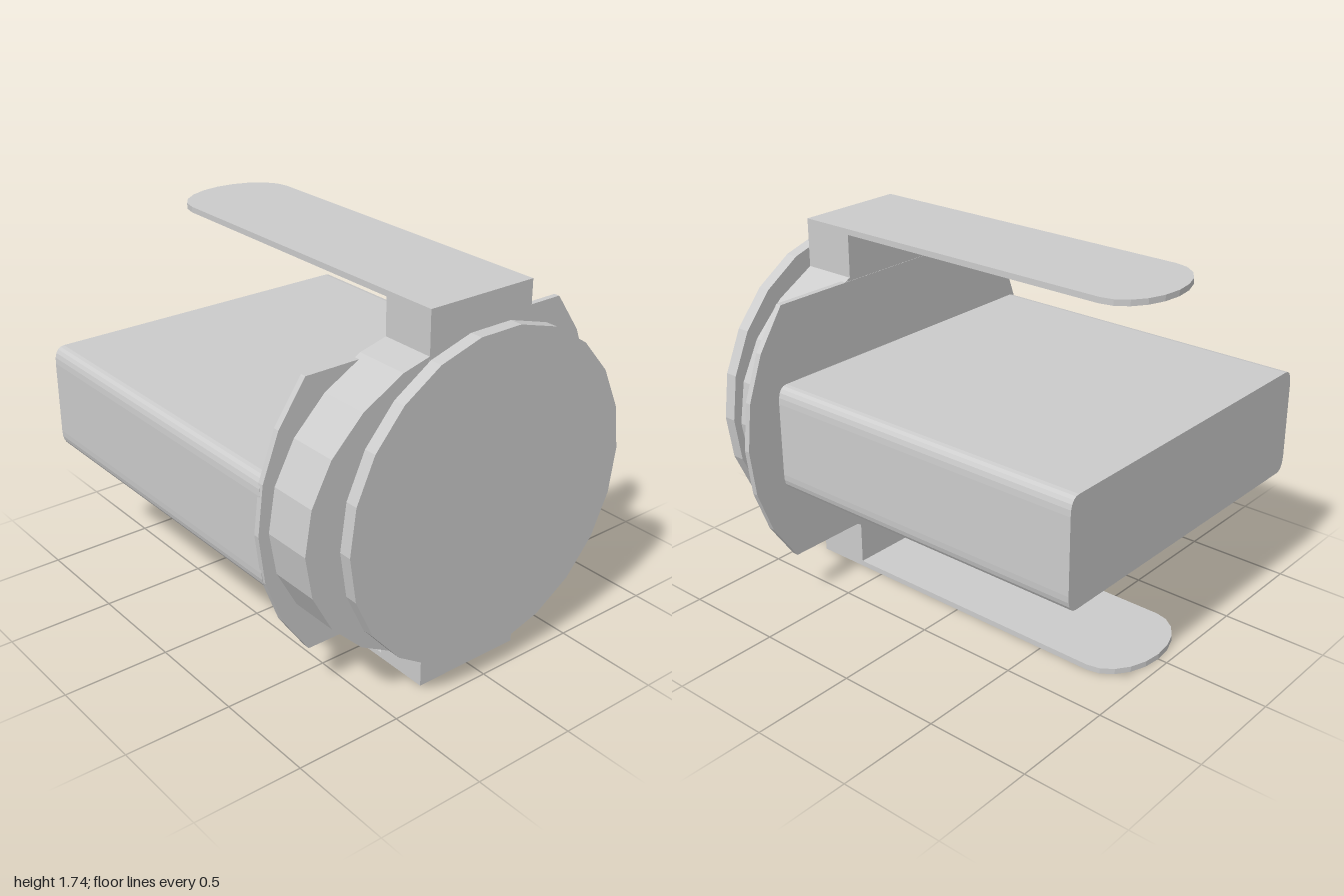
import * as THREE from 'three';

const CY = 0.87; // height of the main axis

export function createModel() {
  const model = new THREE.Group();
  const flat = new THREE.MeshStandardMaterial({ color: 0xcccccc, flatShading: true });
  const smooth = new THREE.MeshStandardMaterial({ color: 0xcccccc });

  const add = (name, geometry, material = flat) => {
    const mesh = new THREE.Mesh(geometry, material);
    mesh.name = name;
    model.add(mesh);
    return mesh;
  };
  // Extrude a front-facing outline from z0 to z1
  const slab = (name, shape, z0, z1, material) => {
    const geometry = new THREE.ExtrudeGeometry(shape, { depth: z1 - z0, bevelEnabled: false, curveSegments: 5 });
    return add(name, geometry.translate(0, 0, z0), material);
  };
  // Many-sided oval outline, optionally cut flat above and below
  const oval = (cx, rx, ry, sides, cut = Infinity) => {
    const points = [];
    for (let i = 0; i < sides; i++) {
      const a = (i / sides) * Math.PI * 2;
      const y = THREE.MathUtils.clamp(Math.sin(a) * ry, -cut, cut);
      const x = cut < ry && Math.abs(y) === cut
        ? Math.sign(Math.cos(a)) * rx * Math.sqrt(1 - (cut / ry) ** 2)
        : Math.cos(a) * rx;
      points.push(new THREE.Vector2(cx + x, CY + y));
    }
    return new THREE.Shape(points.filter((p, i) => i === 0 || p.distanceTo(points[i - 1]) > 1e-4));
  };

  // Round stack at the front
  slab('frontCap', oval(0, 0.75, 0.75, 22), 0.94, 1);
  slab('neck', oval(0, 0.53, 0.53, 18), 0.88, 0.945);
  slab('collar', oval(-0.065, 0.815, 0.7, 22), 0.63, 0.89);
  slab('flange', oval(0, 0.93, 0.93, 26, 0.622), 0.627, 0.655);

  // Wide tongue with rounded long edges
  const [x0, x1, y0, y1, rx, ry] = [-0.91, 0.74, 0.61, 1.12, 0.05, 0.08];
  const tongue = new THREE.Shape();
  tongue.moveTo(x0 + rx, y0);
  tongue.lineTo(x1 - rx, y0);
  tongue.quadraticCurveTo(x1, y0, x1, y0 + ry);
  tongue.lineTo(x1, y1 - ry);
  tongue.quadraticCurveTo(x1, y1, x1 - rx, y1);
  tongue.lineTo(x0 + rx, y1);
  tongue.quadraticCurveTo(x0, y1, x0, y1 - ry);
  tongue.lineTo(x0, y0 + ry);
  tongue.quadraticCurveTo(x0, y0, x0 + rx, y0);
  slab('tongue', tongue, -1, 0.64, smooth);

  // Two round-ended arms with their root blocks, mirrored above and below
  const arm = new THREE.Shape();
  arm.moveTo(-0.272, -0.89);
  arm.lineTo(0.272, -0.89);
  arm.lineTo(0.272, 0.76);
  for (let i = 1; i <= 10; i++) {
    const a = (i / 10) * Math.PI;
    arm.lineTo(Math.cos(a) * 0.272, 0.76 + Math.sin(a) * 0.195);
  }
  for (const [side, label] of [[1, 'upper'], [-1, 'lower']]) {
    const plate = new THREE.ExtrudeGeometry(arm, { depth: 0.027, bevelEnabled: false });
    plate.rotateX(-Math.PI / 2);
    plate.translate(0, side > 0 ? 1.708 : 0, 0);
    add(label + 'Arm', plate);
    const block = new THREE.BoxGeometry(0.544, 0.3, 0.262);
    add(label + 'ArmBlock', block).position.set(0, side > 0 ? 1.585 : 0.15, 0.76);
  }
  return model;
}
